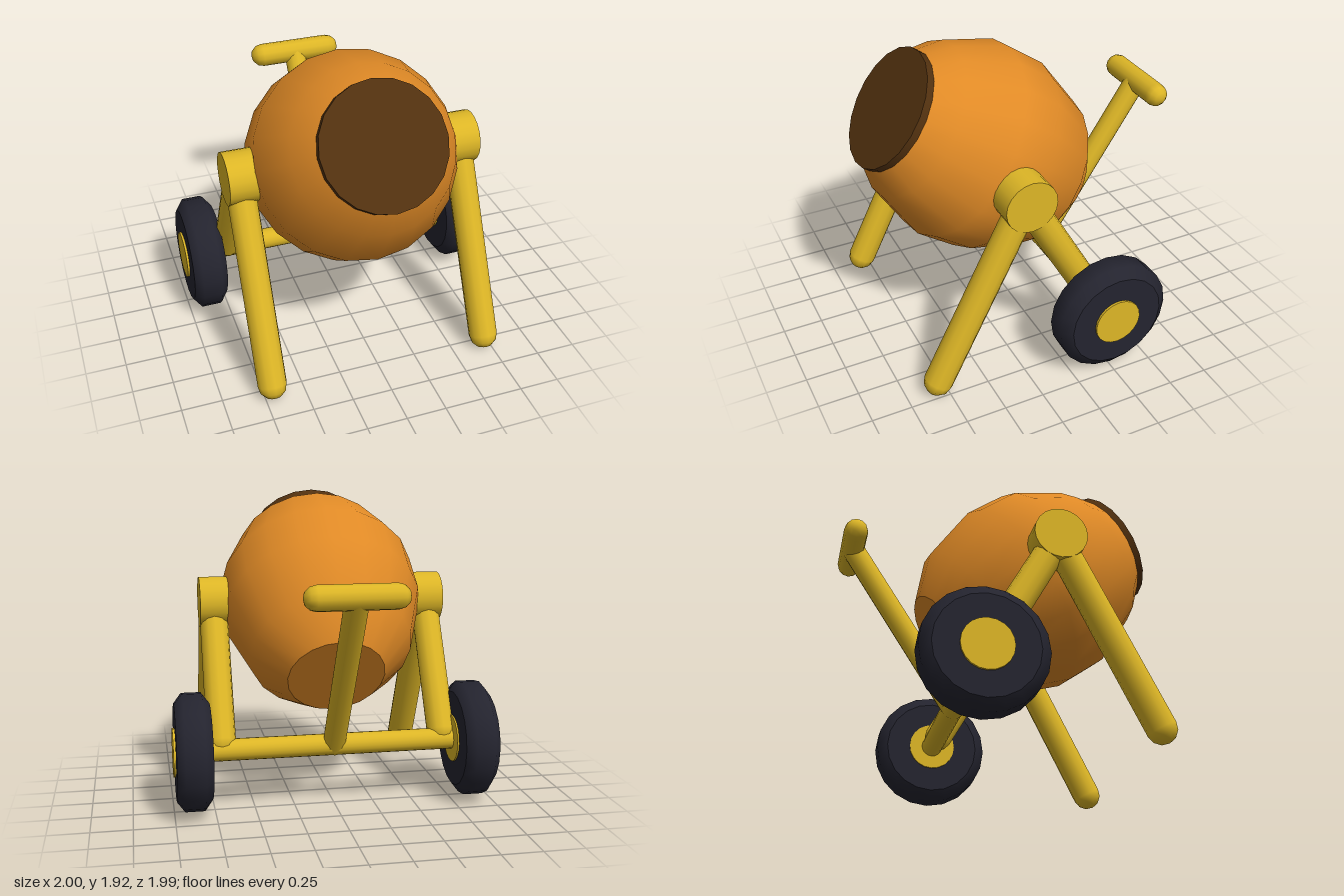
import * as THREE from 'three';
import { mergeGeometries } from 'three/addons/utils/BufferGeometryUtils.js';

const SIDES = 20;
const PIVOT = [1.23, 0.23]; // y, z of the drum's tilting axis
const AXLE = [0.383, -0.255]; // y, z of the wheel axle

function material(name, color) {
  const m = new THREE.MeshStandardMaterial({ color });
  m.name = name;
  return m;
}

function part(name, geometry, mat, parent) {
  const mesh = new THREE.Mesh(geometry, mat);
  mesh.name = name;
  parent.add(mesh);
  return mesh;
}

// Round-ended tube between two points
function rod(name, from, to, radius, mat, parent) {
  const a = new THREE.Vector3(...from);
  const b = new THREE.Vector3(...to);
  const dir = b.clone().sub(a);
  const mesh = part(name, new THREE.CapsuleGeometry(radius, dir.length(), 3, 12), mat, parent);
  mesh.position.copy(a).add(b).multiplyScalar(0.5);
  mesh.quaternion.setFromUnitVectors(new THREE.Vector3(0, 1, 0), dir.normalize());
  return mesh;
}

// Cylinder lying along x
function crossCylinder(name, radius, length, x, [y, z], mat, parent) {
  const geometry = new THREE.CylinderGeometry(radius, radius, length, SIDES).rotateZ(Math.PI / 2);
  const mesh = part(name, geometry, mat, parent);
  mesh.position.set(x, y, z);
  return mesh;
}

// Smooth turned shape with flat discs closing both ends
function turned(profile) {
  const points = profile.map(([r, y]) => new THREE.Vector2(r, y));
  const first = points[0];
  const last = points[points.length - 1];
  return mergeGeometries([
    new THREE.LatheGeometry(points, SIDES),
    new THREE.CircleGeometry(first.x, SIDES).rotateX(Math.PI / 2).translate(0, first.y, 0),
    new THREE.CircleGeometry(last.x, SIDES).rotateX(-Math.PI / 2).translate(0, last.y, 0),
  ]);
}

export function createModel() {
  const yellow = material('frame yellow', 0xddb626);
  const orange = material('drum orange', 0xe08a26);
  const brown = material('mouth brown', 0x52310f);
  const black = material('tyre black', 0x24242f);

  const model = new THREE.Group();
  model.name = 'cementMixer';

  // Tilted drum with its dark mouth
  const drum = new THREE.Group();
  drum.name = 'drum';
  drum.position.set(0, ...PIVOT);
  drum.rotation.x = THREE.MathUtils.degToRad(55);
  model.add(drum);
  part('drumShell', turned([
    [0.302, -0.692], [0.508, -0.487], [0.635, -0.12],
    [0.635, 0.152], [0.494, 0.48], [0.37, 0.63],
  ]), orange, drum);
  part('drumMouth', new THREE.CylinderGeometry(0.378, 0.378, 0.048, SIDES), brown, drum)
    .position.y = 0.643;

  // Pivots, legs and wheels on both sides
  for (const [side, s] of [['left', 1], ['right', -1]]) {
    const x = 0.7 * s;
    crossCylinder(`${side}Pivot`, 0.162, 0.24, 0.67 * s, PIVOT, yellow, model);
    rod(`${side}FrontLeg`, [x, 0.09, 0.805], [x, ...PIVOT], 0.09, yellow, model);
    rod(`${side}RearLeg`, [x, 0.43, -0.225], [x, ...PIVOT], 0.09, yellow, model);

    const tyre = turned([
      [0.3, -0.108], [0.363, -0.06], [0.363, 0.06], [0.3, 0.108],
    ]).rotateZ(-Math.PI / 2);
    part(`${side}Tyre`, tyre, black, model).position.set(0.878 * s, ...AXLE);
    crossCylinder(`${side}Hub`, 0.15, 0.24, 0.88 * s, AXLE, yellow, model);
  }

  // Axle and push handle
  crossCylinder('axle', 0.068, 1.6, 0, AXLE, yellow, model);
  rod('handleStem', [0, ...AXLE], [0, 1.41, -0.925], 0.072, yellow, model);
  rod('handleGrip', [-0.228, 1.412, -0.925], [0.228, 1.412, -0.925], 0.075, yellow, model);

  return model;
}
